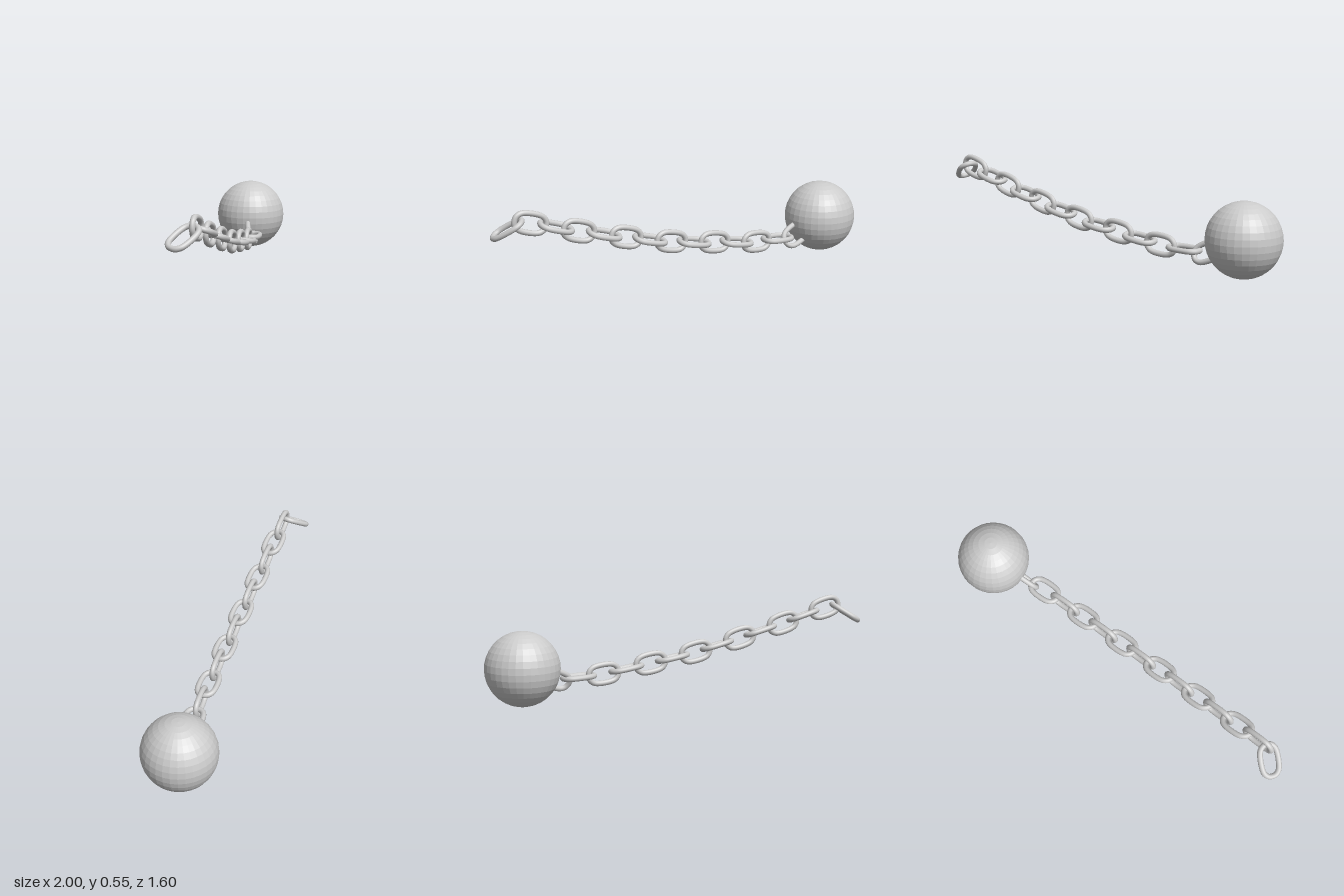
import * as THREE from 'three';

const V = (x, y, z) => new THREE.Vector3(x, y, z);

export function createModel() {
  const group = new THREE.Group();
  const metal = new THREE.MeshStandardMaterial({ color: 0xcccccc });
  const ballMetal = new THREE.MeshStandardMaterial({ color: 0xcccccc, flatShading: true });

  // Heavy ball
  const ball = new THREE.Mesh(new THREE.SphereGeometry(0.22, 32, 18), ballMetal);
  ball.name = 'ball';
  ball.position.set(0.777, 0.22, -0.58);
  group.add(ball);

  // One link: long axis x, width along y, slightly angular bends
  const quarter = [[0.093, 0.02], [0.073, 0.043], [0.042, 0.053]];
  const half = [...quarter, ...quarter.map(([x, y]) => [-x, y]).reverse()];
  const outline = [...half, ...half.map(([x, y]) => [-x, -y])];
  const path = new THREE.CatmullRomCurve3(outline.map(([x, y]) => V(x, y, 0)), true);
  const linkGeometry = new THREE.TubeGeometry(path, 48, 0.0165, 10, true);

  // Places a link along a direction, its width leaning towards a hint vector
  function addLink(name, centre, direction, widthHint) {
    const d = direction.clone().normalize();
    const u = widthHint.clone().addScaledVector(d, -widthHint.dot(d)).normalize();
    const link = new THREE.Mesh(linkGeometry, metal);
    link.name = name;
    link.quaternion.setFromRotationMatrix(
      new THREE.Matrix4().makeBasis(d, u, d.clone().cross(u)));
    link.position.copy(centre);
    group.add(link);
  }

  // Sagging chain of alternating upright and flat links
  const centres = [
    V(-0.78, 0.467, 0.687), V(-0.655, 0.425, 0.6), V(-0.543, 0.383, 0.518),
    V(-0.415, 0.343, 0.43), V(-0.303, 0.305, 0.345), V(-0.178, 0.269, 0.257),
    V(-0.065, 0.236, 0.168), V(0.058, 0.209, 0.076), V(0.17, 0.187, -0.015),
    V(0.295, 0.164, -0.112), V(0.408, 0.143, -0.205), V(0.53, 0.137, -0.31),
  ];
  const last = centres.length - 1;
  centres.forEach((centre, i) => {
    const direction = centres[Math.min(i + 1, last)].clone().sub(centres[Math.max(i - 1, 0)]);
    const upright = i % 2 === 0;
    addLink(upright ? 'uprightLink' : 'flatLink', centre, direction,
      upright ? V(0, 1, 0) : V(0, 0, 1));
  });

  // Loose end link and the link sunk into the ball
  addLink('endLink', V(-0.903, 0.437, 0.725), V(0.87, 0.5, 0), V(0, -0.25, 0.97));
  addLink('ballLink', V(0.638, 0.137, -0.42), V(0.62, 0.38, -0.69), V(-0.56, 0.82, -0.05));

  return group;
}
